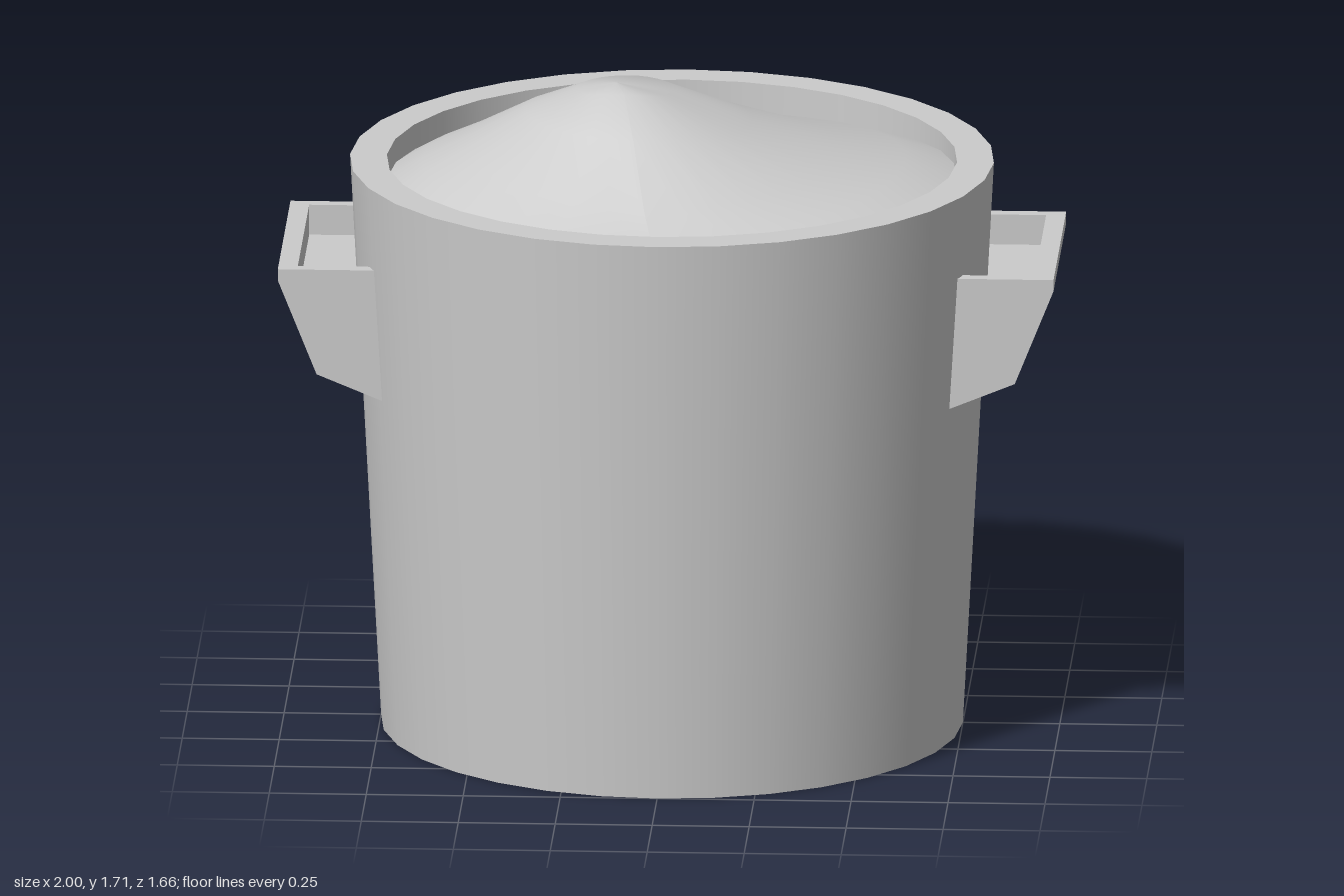
import * as THREE from 'three';

const SIDES = 32;
const material = new THREE.MeshStandardMaterial({ color: 0xcccccc });

function addMesh(parent, name, geometry, mat = material) {
  const mesh = new THREE.Mesh(geometry, mat);
  mesh.name = name;
  parent.add(mesh);
  return mesh;
}

// Bucket wall: one lathe per profile segment keeps the corners sharp
function createBucket() {
  const bucket = new THREE.Group();
  bucket.name = 'bucket';
  const profile = [[0, 0.03], [0.535, 0.03], [0.535, 0], [0.75, 0], [0.83, 1.5], [0.735, 1.5], [0.73, 1.25]];
  const names = ['baseRecess', 'recessWall', 'footRing', 'outerWall', 'rim', 'innerWall'];
  names.forEach((name, i) => {
    const points = [profile[i], profile[i + 1]].map(([r, y]) => new THREE.Vector2(r, y));
    addMesh(bucket, name, new THREE.LatheGeometry(points, SIDES));
  });
  return bucket;
}

// Heaped contents: a disc whose heights blend four slope profiles around an off-centre peak
function createContents(parent) {
  const rings = [0, 0.18, 0.4, 0.67, 0.85, 1];
  const slopes = {
    left: [1.71, 1.685, 1.61, 1.53, 1.505, 1.46],
    right: [1.71, 1.69, 1.64, 1.55, 1.495, 1.44],
    front: [1.71, 1.713, 1.635, 1.5, 1.45, 1.4],
    back: [1.71, 1.69, 1.595, 1.5, 1.45, 1.4],
  };
  const peakX = -0.14, peakZ = 0.03, radius = 0.733;
  const points = rings.map((t) => new THREE.Vector2(t * radius, 0)).reverse();
  const geometry = new THREE.LatheGeometry(points, SIDES);
  const pos = geometry.attributes.position;
  for (let i = 0; i < pos.count; i++) {
    const ring = rings.length - 1 - (i % rings.length);
    const t = rings[ring];
    const x = pos.getX(i), z = pos.getZ(i);
    const angle = (Math.floor(i / rings.length) / SIDES) * Math.PI * 2;
    const s = Math.sin(angle), c = Math.cos(angle);
    const y = s * s * (s > 0 ? slopes.left : slopes.right)[ring]
      + c * c * (c > 0 ? slopes.front : slopes.back)[ring];
    pos.setXYZ(i, x + peakX * (1 - t), y, z + peakZ * (1 - t));
  }
  geometry.computeVertexNormals();
  addMesh(parent, 'contents', geometry);
}

// Extrude an (x, y) outline along z between two positions
function slab(outline, z0, z1) {
  const shape = new THREE.Shape(outline.map(([x, y]) => new THREE.Vector2(x, y)));
  const geometry = new THREE.ExtrudeGeometry(shape, { depth: z1 - z0, bevelEnabled: false });
  return geometry.translate(0, 0, z0);
}

// Side grip: a block with a shallow tray in its top
function createHandle(name) {
  const handle = new THREE.Group();
  handle.name = name;
  const lower = [[0.7, 0.918], [0.9, 1.0], [1.0, 1.25], [1.0, 1.28]];
  const endPlate = [...lower, [0.7, 1.28]];
  const tray = [...lower, [0.95, 1.28], [0.95, 1.2], [0.7, 1.2]];
  addMesh(handle, 'tray', slab(tray, -0.285, 0.285));
  addMesh(handle, 'frontEnd', slab(endPlate, 0.285, 0.32));
  addMesh(handle, 'backEnd', slab(endPlate, -0.32, -0.285));
  return handle;
}

export function createModel() {
  const model = new THREE.Group();
  model.name = 'filledBucket';
  model.add(createBucket());
  createContents(model);
  const leftHandle = createHandle('leftHandle');
  const rightHandle = createHandle('rightHandle');
  rightHandle.rotation.y = Math.PI;
  model.add(leftHandle, rightHandle);
  return model;
}
